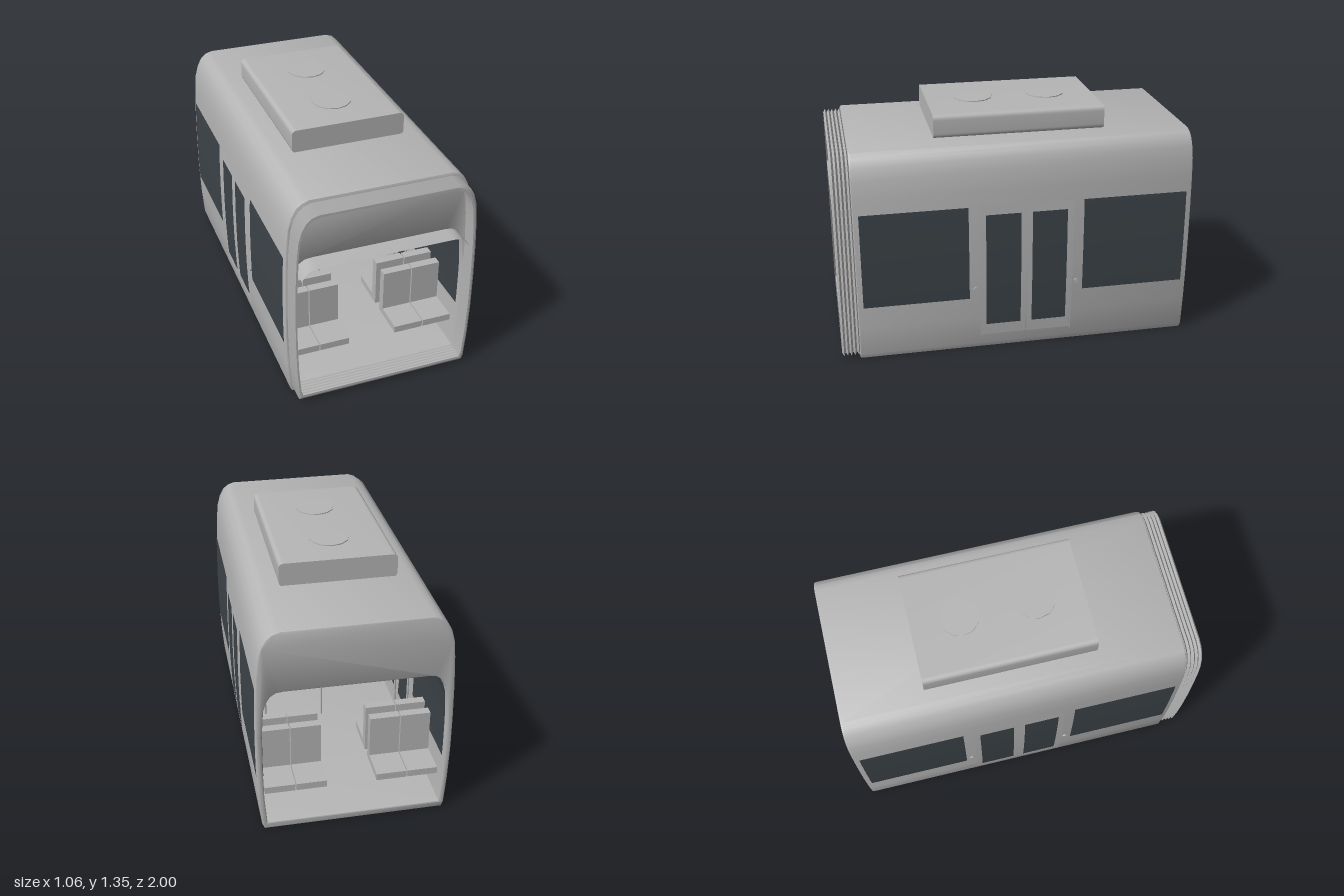
import * as THREE from 'three';
import { toCreasedNormals } from 'three/addons/utils/BufferGeometryUtils.js';

const MID = -0.05; // lengthwise middle of the body

// half cross-sections, from the floor up to the roof
const OUTER = [[0.495, 0], [0.507, 0.03], [0.519, 0.2], [0.525, 0.4], [0.525, 0.6], [0.521, 0.8],
  [0.513, 0.97], [0.503, 1.07], [0.485, 1.135], [0.46, 1.18], [0.43, 1.207], [0.39, 1.22]];
const INNER = [[0.478, 0.04], [0.49, 0.2], [0.494, 0.4], [0.493, 0.6], [0.482, 0.76], [0.466, 0.81],
  [0.445, 0.845], [0.415, 0.865], [0.375, 0.87]];

// full outline made from a mirrored half section
const outline = (half) => [...half, ...half.map(([x, y]) => [-x, y]).reverse()]
  .map(([x, y]) => new THREE.Vector2(x, y));

// half width of a section at height y
function widthAt(half, y) {
  for (let i = 1; i < half.length; i++) {
    const [x0, y0] = half[i - 1], [x1, y1] = half[i];
    if (y <= y1) return x0 + (x1 - x0) * (y - y0) / (y1 - y0);
  }
  return half[half.length - 1][0];
}

// surface through a series of cross-section loops
function loft(sections, closed = true) {
  const n = sections[0].length, pos = [], idx = [];
  sections.forEach((s) => s.forEach((p) => pos.push(p.x, p.y, p.z)));
  for (let i = 0; i < sections.length - 1; i++) {
    for (let j = 0; j < (closed ? n : n - 1); j++) {
      const a = i * n + j, b = i * n + (j + 1) % n;
      idx.push(a, b, b + n, a, b + n, a + n);
    }
  }
  const g = new THREE.BufferGeometry();
  g.setAttribute('position', new THREE.Float32BufferAttribute(pos, 3));
  g.setIndex(idx);
  return toCreasedNormals(g, 0.5);
}

// thin plate that follows the curve of a side wall
function wallPlate(half, offset, z0, z1, y0, y1) {
  const g = new THREE.PlaneGeometry(z1 - z0, y1 - y0, 1, 10);
  const p = g.attributes.position;
  for (let i = 0; i < p.count; i++) {
    const y = p.getY(i) + (y0 + y1) / 2;
    p.setXYZ(i, widthAt(half, y) + offset, y, (z0 + z1) / 2 - p.getX(i));
  }
  g.computeVertexNormals();
  return g;
}

export function createModel() {
  const group = new THREE.Group();
  const body = new THREE.MeshStandardMaterial({ color: 0xb5b5b5, side: THREE.DoubleSide });
  body.name = 'light grey';
  const glass = new THREE.MeshStandardMaterial({ color: 0x3c4348, side: THREE.DoubleSide });
  glass.name = 'dark glass';

  const add = (name, geometry, material = body, parent = group) => {
    const mesh = new THREE.Mesh(geometry, material);
    mesh.name = name;
    parent.add(mesh);
    return mesh;
  };
  const box = (name, x0, x1, y0, y1, z0, z1, material, parent) => {
    const g = new THREE.BoxGeometry(x1 - x0, y1 - y0, z1 - z0);
    g.translate((x0 + x1) / 2, (y0 + y1) / 2, (z0 + z1) / 2);
    return add(name, g, material, parent);
  };

  // shell: floor, walls, roof and end headers around the cabin
  const shape = new THREE.Shape(outline(OUTER));
  shape.holes.push(new THREE.Path(outline(INNER).reverse()));
  const shell = new THREE.ExtrudeGeometry(shape, {
    depth: 1.88, bevelSize: 0.008, bevelOffset: -0.008, bevelThickness: 0.01, bevelSegments: 2,
  });
  shell.translate(0, 0, -0.99);
  add('bodyShell', toCreasedNormals(shell, 0.5));

  // pleated gangway bellows at the front
  const ring = (z, inset) => outline(OUTER).map((p) => new THREE.Vector3(
    p.x * (1 - inset / 0.525), 0.62 + (p.y - 0.62) * (1 - inset * 1.4 / 0.61), z));
  const pleats = [];
  for (let i = 0; i <= 10; i++) pleats.push(ring(0.895 + i * 0.0105, i % 2 ? 0.011 : 0.023));
  for (let i = 10; i >= 0; i--) pleats.push(ring(0.895 + i * 0.0105, i % 2 ? 0.023 : 0.033));
  add('bellows', loft(pleats));

  // ceiling lip and floor plate reaching through the bellows
  const vault = outline(INNER.slice(5));
  add('ceilingLip', loft([0.88, 1].map((z) => vault.map((p) => new THREE.Vector3(p.x, p.y, z))), false));
  box('floorPlate', -0.478, 0.478, 0.034, 0.042, 0.88, 0.995);

  // roof unit with two fan covers
  const pod = new THREE.Shape();
  const w = 0.32, y0 = 1.215, y1 = 1.348, r = 0.03;
  pod.moveTo(-w + r, y0).lineTo(w - r, y0).quadraticCurveTo(w, y0, w, y0 + r)
    .lineTo(w, y1 - r).quadraticCurveTo(w, y1, w - r, y1)
    .lineTo(-w + r, y1).quadraticCurveTo(-w, y1, -w, y1 - r)
    .lineTo(-w, y0 + r).quadraticCurveTo(-w, y0, -w + r, y0);
  const podGeo = new THREE.ExtrudeGeometry(pod, { depth: 0.96, bevelEnabled: false, curveSegments: 6 });
  podGeo.translate(0, 0, MID - 0.48);
  add('roofUnit', toCreasedNormals(podGeo, 0.6));
  for (const z of [-0.26, 0.16]) {
    add('fanCover', new THREE.CylinderGeometry(0.11, 0.11, 0.008, 12)).position.set(0, 1.349, z);
  }

  // sides: windows, doors, buttons and handles
  for (const side of [1, -1]) {
    const wall = new THREE.Group();
    wall.name = side > 0 ? 'leftSide' : 'rightSide';
    wall.rotation.y = side > 0 ? 0 : Math.PI;
    wall.position.z = side > 0 ? 0 : 2 * MID;
    group.add(wall);

    for (const [z0, z1] of [[0.275, 0.868], [-0.968, -0.375]]) {
      add('window', wallPlate(OUTER, 0.003, z0, z1, 0.33, 0.882), glass, wall);
      add('windowInside', wallPlate(INNER, -0.004, z0, z1, 0.33, 0.8), glass, wall);
    }
    for (const s of [1, -1]) {
      const span = (a, b) => (s > 0 ? [MID + a, MID + b] : [MID - b, MID - a]);
      add('doorLeaf', wallPlate(OUTER, 0.003, ...span(0.004, 0.255), 0.085, 0.875), body, wall);
      add('doorGlass', wallPlate(OUTER, 0.006, ...span(0.032, 0.23), 0.155, 0.832), glass, wall);
      add('doorGlassInside', wallPlate(INNER, -0.004, ...span(0.032, 0.23), 0.155, 0.8), glass, wall);
      add('doorPost', wallPlate(OUTER, 0.005, ...span(0.257, 0.264), 0.075, 0.883), body, wall);
      const button = add('doorButton', new THREE.CylinderGeometry(0.014, 0.014, 0.012, 16), body, wall);
      button.rotation.z = Math.PI / 2;
      button.position.set(0.526, 0.385, MID + s * 0.29);
    }
    add('doorHeader', wallPlate(OUTER, 0.005, MID - 0.26, MID + 0.26, 0.877, 0.884), body, wall);
  }

  // back-to-back seat pairs below each window
  for (const zc of [0.575, 2 * MID - 0.575]) {
    for (const facing of [1, -1]) {
      for (const x of [-0.396, -0.222, 0.222, 0.396]) {
        const seat = new THREE.Group();
        seat.name = 'seat';
        box('seatCushion', -0.084, 0.084, 0.18, 0.22, 0.035, 0.255, body, seat);
        box('seatBack', -0.084, 0.084, 0.18, 0.465, 0.03, 0.08, body, seat);
        seat.position.set(x, 0, zc);
        seat.rotation.y = facing > 0 ? 0 : Math.PI;
        group.add(seat);
      }
    }
  }

  // grab poles and overhead rails
  const pole = (name, x, z, top) => add(name, new THREE.CylinderGeometry(0.006, 0.006, top - 0.04, 10))
    .position.set(x, (top + 0.04) / 2, z);
  pole('centrePole', 0, MID, 0.87);
  for (const x of [1, -1]) {
    for (const z of [MID + 0.29, MID - 0.29]) {
      pole('doorPole', x * 0.388, z, 0.868);
      pole('wallPole', x * 0.467, z, 0.82);
    }
    const rail = add('overheadRail', new THREE.CylinderGeometry(0.005, 0.005, 1, 10));
    rail.rotation.x = Math.PI / 2;
    rail.position.set(x * 0.168, 0.7, MID);
  }

  // hanging display with a screen on both faces
  box('displayCase', -0.122, 0.122, 0.755, 0.838, MID + 0.01, MID + 0.05);
  box('displayHanger', -0.006, 0.006, 0.835, 0.872, MID + 0.02, MID + 0.04);
  for (const z of [MID + 0.008, MID + 0.05]) {
    box('displayScreen', -0.113, 0.113, 0.762, 0.831, z, z + 0.003, glass);
  }

  return group;
}
